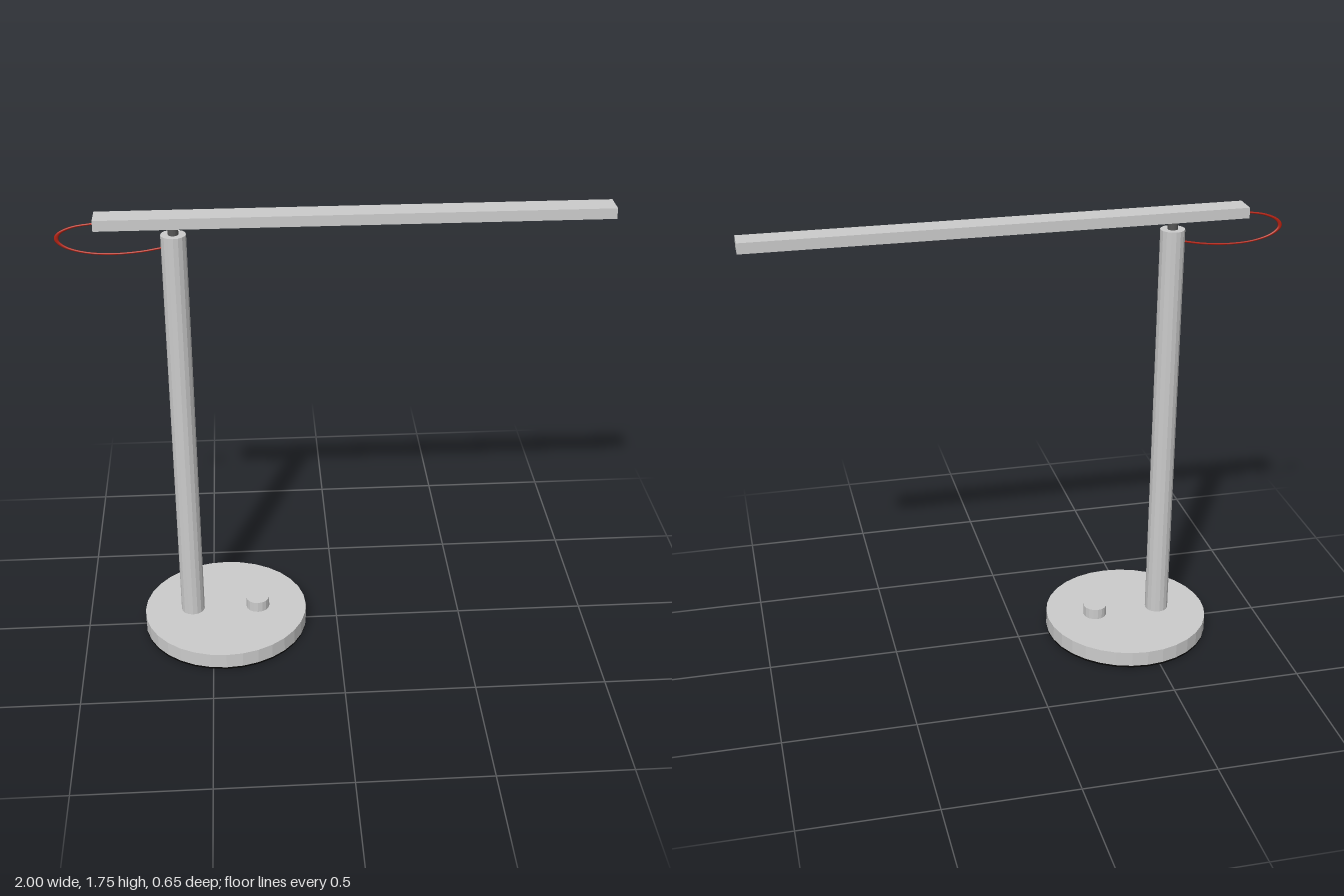
import * as THREE from 'three';

const paint = (color) => new THREE.MeshStandardMaterial({ color, flatShading: true });
const grey = paint(0xcccccc);
const dark = paint(0x555555);
const black = paint(0x080808);
const red = new THREE.MeshStandardMaterial({ color: 0xb02010 });

export function createModel() {
  const lamp = new THREE.Group();
  lamp.name = 'deskLamp';

  const add = (name, geometry, material, x, y) => {
    const mesh = new THREE.Mesh(geometry, material);
    mesh.name = name;
    mesh.position.set(x, y, 0);
    lamp.add(mesh);
    return mesh;
  };

  // Upright cylinder between two heights
  const post = (name, x, r, y0, y1, sides, material = grey) =>
    add(name, new THREE.CylinderGeometry(r, r, y1 - y0, sides), material, x, (y0 + y1) / 2);

  // Round foot with a dark pad underneath
  post('footPad', -0.448, 0.322, 0, 0.008, 32, black);
  post('base', -0.448, 0.323, 0.008, 0.067, 32);
  post('knob', -0.319, 0.046, 0.067, 0.11, 16);

  // Stem and the narrow joint carrying the lamp bar
  post('stem', -0.58, 0.046, 0.067, 1.68, 16);
  post('joint', -0.58, 0.019, 1.68, 1.716, 16, dark);

  // Horizontal lamp bar
  add('lampBar', new THREE.BoxGeometry(1.858, 0.04, 0.092), grey, 0.071, 1.735);

  // Cable looping from the end of the bar back to the stem; wider along x than y
  const stretch = 2.2;
  const path = new THREE.CatmullRomCurve3([
    [-0.85, 1.727, -0.004],
    [-0.93, 1.714, -0.008],
    [-0.982, 1.69, -0.011],
    [-0.992, 1.663, -0.012],
    [-0.96, 1.635, -0.011],
    [-0.89, 1.615, -0.009],
    [-0.8, 1.609, -0.006],
    [-0.70, 1.616, -0.003],
    [-0.61, 1.632, 0],
  ].map(([x, y, z]) => new THREE.Vector3(x / stretch, y, z)));
  const cable = new THREE.TubeGeometry(path, 64, 0.0036, 8);
  cable.scale(stretch, 1, 1);
  add('cable', cable, red, 0, 0);

  return lamp;
}
